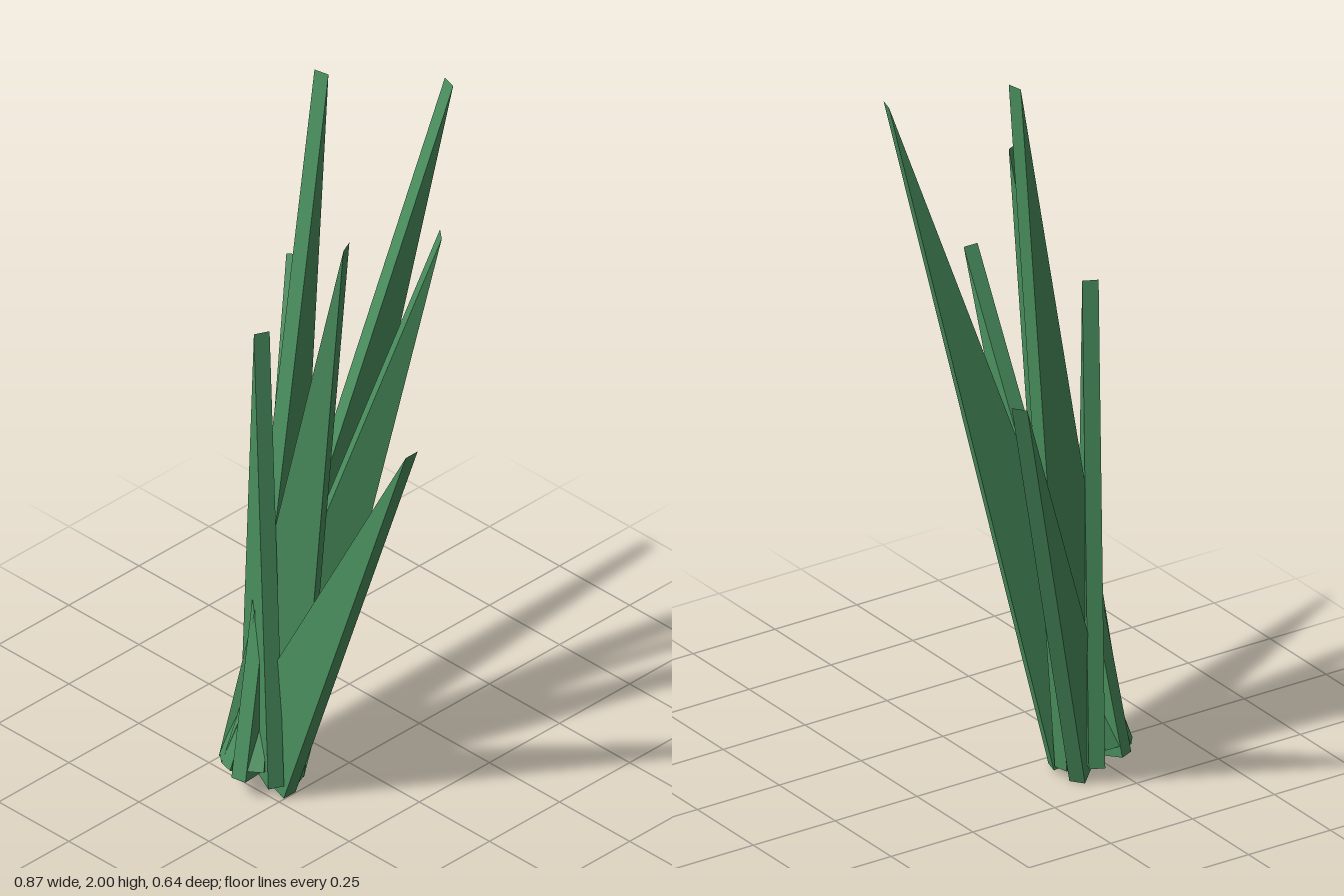
import * as THREE from 'three';

const HALF_BASE = 0.109; // half of the blade's broad base
const WIDTH = 0.042;     // constant width of the blade's edge
const ROOT = new THREE.Vector3(-0.102, 0.043, 0.21);

// Tip position of each blade
const TIPS = [
  [-0.417, 1.242, -0.222],
  [-0.159, 1.998, -0.06],
  [0.039, 1.94, -0.317],
  [0.182, 1.627, -0.145],
  [0.107, 1.678, 0.117],
  [0.433, 1.245, 0.21],
  [-0.102, 1.36, 0.21],
];
const UPRIGHT_TURN = -0.445; // turn of the blade that stands straight up

// Triangular wedge: broad base narrowing to a straight edge at the tip
function bladeGeometry(length, tilt, turn) {
  const shape = new THREE.Shape([
    new THREE.Vector2(-HALF_BASE, 0),
    new THREE.Vector2(HALF_BASE, 0),
    new THREE.Vector2(0, length),
  ]);
  const geometry = new THREE.ExtrudeGeometry(shape, { depth: WIDTH, bevelEnabled: false });
  return geometry.translate(0, 0, -WIDTH / 2).rotateZ(-tilt).rotateY(turn);
}

export function createModel() {
  const model = new THREE.Group();
  model.name = 'grassTuft';
  const leafGreen = new THREE.MeshStandardMaterial({ color: 0x4a8f5e, flatShading: true });
  leafGreen.name = 'leafGreen';

  // Blades fan out from a common root
  TIPS.forEach((tip, i) => {
    const d = new THREE.Vector3(...tip).sub(ROOT);
    const reach = Math.hypot(d.x, d.z);
    const turn = reach > 0.01 ? Math.atan2(-d.z, d.x) : UPRIGHT_TURN;
    const blade = new THREE.Mesh(bladeGeometry(d.length(), Math.atan2(reach, d.y), turn), leafGreen);
    blade.name = `grassBlade${i + 1}`;
    blade.position.copy(ROOT);
    model.add(blade);
  });
  return model;
}
